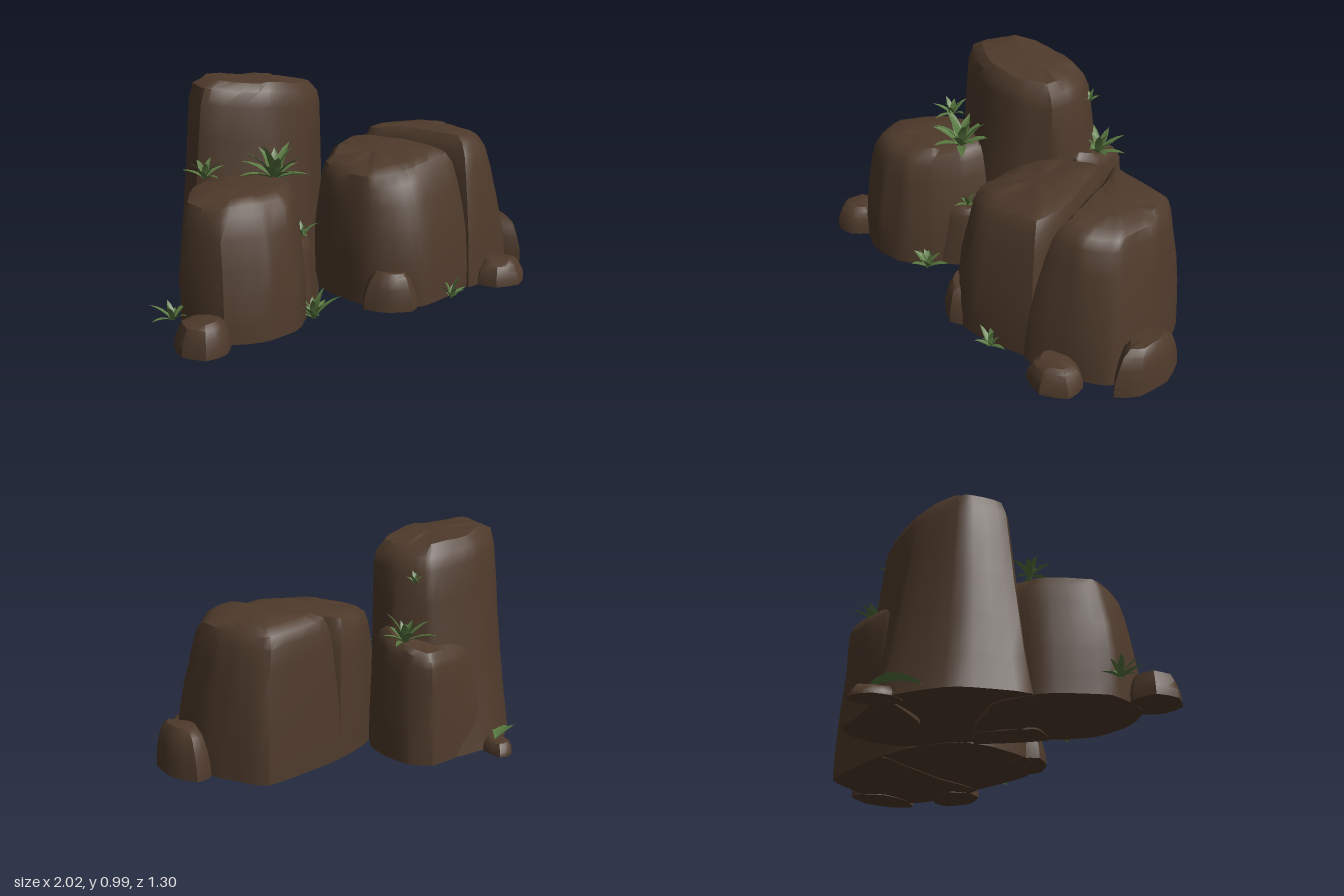
import * as THREE from 'three';
import { mergeGeometries, toCreasedNormals } from 'three/addons/utils/BufferGeometryUtils.js';

const stone = new THREE.MeshStandardMaterial({ color: 0x4e3a2b });
stone.name = 'brown stone';
const leaf = new THREE.MeshStandardMaterial({ color: 0x587840, side: THREE.DoubleSide });
leaf.name = 'leaf green';

const hash = (a, b) => {
  const s = Math.sin(a * 12.9898 + b * 78.233) * 43758.5453;
  return (s - Math.floor(s)) * 2 - 1;
};

// Closed outline through [x, z] points, sampled at n places
function ring(points, n) {
  const curve = new THREE.CatmullRomCurve3(
    points.map(([x, z]) => new THREE.Vector3(x, 0, z)), true, 'catmullrom', 0.25);
  return Array.from({ length: n }, (_, i) => curve.getPoint(i / n));
}

// Height share and inset of each loft row
const ROWS = [[0, 1], [0.16, 1], [0.36, 1], [0.56, 1], [0.75, 1], [0.89, 1], [0.96, 0.95], [1, 0.8], [1.01, 0.4]];

// Rock lofted from a base outline to a top outline, with chipped sides and a tilted top
function rock(name, base, top, { height, slopeX = 0, slopeZ = 0, power = 1.4, rough = 0.028, n = 36, seed = 1, rows = ROWS }) {
  const lower = ring(base, n), upper = ring(top, n);
  const centre = new THREE.Vector3();
  upper.forEach(p => centre.addScaledVector(p, 1 / n));
  const pos = [], index = [];
  rows.forEach(([t, inset], r) => {
    for (let i = 0; i < n; i++) {
      const p = lower[i].clone().lerp(upper[i], Math.min(1, t) ** power).sub(centre);
      const groove = hash(Math.floor(i / 3), seed) * 0.5 + hash(Math.floor(i / 2), seed + Math.floor(r / 2)) * 0.5;
      p.multiplyScalar(inset * (1 + rough * groove));
      const h = height + slopeX * p.x + slopeZ * p.z;
      const bump = t > 0.8 ? hash(Math.floor(i / 3), seed + 9 + r) * rough * 0.25 : 0;
      pos.push(p.x + centre.x, t * h + bump, p.z + centre.z);
    }
  });
  const last = (rows.length - 1) * n, topMid = rows.length * n;
  pos.push(centre.x, height * 1.01, centre.z, centre.x, height * 0.03, centre.z);
  for (let i = 0; i < n; i++) {
    const j = (i + 1) % n;
    for (let r = 0; r < rows.length - 1; r++) {
      const a = r * n + i, b = r * n + j;
      index.push(a, b, b + n, a, b + n, a + n);
    }
    index.push(last + i, last + j, topMid, j, i, topMid + 1);
  }
  const geo = new THREE.BufferGeometry();
  geo.setAttribute('position', new THREE.Float32BufferAttribute(pos, 3));
  geo.setIndex(index);
  const mesh = new THREE.Mesh(toCreasedNormals(geo, 0.6), stone);
  mesh.name = name;
  return mesh;
}

// Small rounded stone lying on the ground
const PEBBLE_ROWS = [[0, 1], [0.3, 1.02], [0.6, 0.98], [0.85, 0.9], [1, 0.68]];
function pebble(name, x, z, rx, rz, height, turn, seed) {
  const outline = s => Array.from({ length: 7 }, (_, i) => {
    const a = i / 7 * Math.PI * 2, k = s * (1 + 0.07 * hash(i, seed));
    const u = Math.sin(a) * rx * k, v = Math.cos(a) * rz * k;
    return [x + u * Math.cos(turn) + v * Math.sin(turn), z - u * Math.sin(turn) + v * Math.cos(turn)];
  });
  return rock(name, outline(1), outline(0.78), { height, n: 14, seed, rough: 0.03, rows: PEBBLE_ROWS });
}

// One pointed blade: tapered strip with a raised fold, bending outwards
function blade(length, width, angle, lean) {
  const pos = [], index = [], steps = 4;
  let out = 0, up = 0;
  for (let s = 0; s <= steps; s++) {
    const t = s / steps, w = width * Math.sin(Math.PI * (0.18 + 0.82 * t)) / 2;
    for (const side of [-1, 0, 1]) {
      const x = out, z = side * w, y = up + Math.abs(side) * w * 0.4;
      pos.push(x * Math.cos(angle) + z * Math.sin(angle), y, -x * Math.sin(angle) + z * Math.cos(angle));
    }
    const bend = lean + t * 0.6;
    out += Math.sin(bend) * length / steps;
    up += Math.cos(bend) * length / steps;
    if (s < steps) for (const k of [0, 1]) {
      const a = s * 3 + k;
      index.push(a, a + 1, a + 4, a, a + 4, a + 3);
    }
  }
  const geo = new THREE.BufferGeometry();
  geo.setAttribute('position', new THREE.Float32BufferAttribute(pos, 3));
  geo.setIndex(index);
  geo.computeVertexNormals();
  return geo;
}

function tuft(name, x, y, z, size, count, seed, spread = 1) {
  const blades = Array.from({ length: count }, (_, i) => blade(
    size * (0.85 + 0.2 * hash(i, seed)), size * 0.22, i * 2.4 + seed,
    spread * (0.15 + 1.1 * i / count)));
  const mesh = new THREE.Mesh(mergeGeometries(blades), leaf);
  mesh.name = name;
  mesh.position.set(x, y, z);
  return mesh;
}

export function createModel() {
  const g = new THREE.Group();
  g.name = 'rockCluster';

  // Large boulders
  g.add(
    rock('tallRock',
      [[-0.35, 0.16], [-0.12, 0.1], [0.08, -0.07], [0.16, -0.27], [0.04, -0.47], [-0.28, -0.54], [-0.58, -0.36], [-0.69, -0.05]],
      [[-0.3, 0.04], [-0.1, 0.03], [0.03, -0.05], [0.04, -0.2], [-0.04, -0.34], [-0.3, -0.37], [-0.53, -0.27], [-0.56, -0.08]],
      { height: 0.96, slopeX: -0.1, power: 0.85, seed: 3 }),
    rock('backShoulder',
      [[0.02, -0.15], [0.13, -0.12], [0.17, -0.25], [0.16, -0.4], [0.09, -0.49], [-0.1, -0.5], [-0.28, -0.49], [-0.15, -0.25]],
      [[0.01, -0.17], [0.1, -0.15], [0.14, -0.25], [0.13, -0.38], [0.08, -0.47], [-0.07, -0.46], [-0.2, -0.42], [-0.12, -0.25]],
      { height: 0.54, slopeZ: 0.3, rough: 0.02, seed: 5 }),
    rock('frontLeftRock',
      [[-0.62, 0.51], [-0.45, 0.47], [-0.34, 0.38], [-0.24, 0.2], [-0.2, 0], [-0.5, -0.12], [-0.71, -0.04], [-0.87, 0.2], [-0.8, 0.44]],
      [[-0.6, 0.4], [-0.47, 0.39], [-0.37, 0.31], [-0.32, 0.18], [-0.31, 0], [-0.5, -0.08], [-0.67, -0.01], [-0.82, 0.18], [-0.76, 0.35]],
      { height: 0.58, slopeX: 0.04, power: 2, seed: 8 }),
    rock('footSlab',
      [[-0.32, 0.34], [-0.22, 0.27], [-0.08, 0.1], [-0.2, 0.03], [-0.38, 0.2]],
      [[-0.32, 0.29], [-0.24, 0.25], [-0.18, 0.12], [-0.24, 0.06], [-0.36, 0.2]],
      { height: 0.3, n: 20, power: 1.2, seed: 11 }),
    rock('rightRockInnerHalf',
      [[0.14, 0.59], [0.49, 0.51], [0.47, 0.25], [0.39, 0], [0.33, -0.15], [0.13, -0.1], [-0.06, 0.03], [-0.1, 0.2], [-0.05, 0.45]],
      [[0.15, 0.44], [0.42, 0.41], [0.42, 0.2], [0.34, 0], [0.28, -0.11], [0.13, -0.07], [-0.01, 0.05], [-0.05, 0.2], [-0.01, 0.37]],
      { height: 0.63, slopeX: 0.17, slopeZ: -0.05, power: 2.2, seed: 14 }),
    rock('rightRockOuterHalf',
      [[0.47, 0.53], [0.72, 0.47], [0.85, 0.38], [0.87, 0.15], [0.83, 0], [0.74, -0.15], [0.32, -0.15], [0.36, 0], [0.43, 0.25]],
      [[0.54, 0.39], [0.65, 0.38], [0.76, 0.27], [0.78, 0.1], [0.76, 0], [0.68, -0.12], [0.38, -0.12], [0.43, 0.02], [0.49, 0.22]],
      { height: 0.675, slopeX: -0.06, power: 1.7, seed: 17 }));

  // Loose stones round the foot
  const pebbles = [
    ['leftStone', -0.88, 0.42, 0.12, 0.12, 0.13, 0.4, 2],
    ['frontStone', 0.025, 0.49, 0.13, 0.1, 0.16, -0.75, 4],
    ['frontRightStone', 0.66, 0.53, 0.14, 0.11, 0.105, 0.2, 6],
    ['rightStone', 0.91, 0.24, 0.095, 0.18, 0.21, 0, 9],
    ['backStone', -0.27, -0.55, 0.07, 0.115, 0.055, -0.4, 12],
  ];
  for (const p of pebbles) g.add(pebble(...p));

  // Plants growing in the cracks
  const tufts = [
    ['ledgePlant', -0.36, 0.57, 0.16, 0.2, 16, 1],
    ['smallLedgePlant', -0.62, 0.58, 0, 0.13, 10, 2],
    ['leftGroundPlant', -0.91, 0.06, 0.21, 0.12, 9, 3],
    ['frontGroundPlant', -0.34, 0, 0.42, 0.15, 11, 4, 0.9],
    ['crackPlant', -0.26, 0.31, 0.22, 0.1, 7, 5, 1.2],
    ['rightGroundPlant', 0.31, 0, 0.59, 0.11, 9, 6, 0.9],
    ['backShoulderPlant', 0.09, 0.53, -0.31, 0.16, 14, 7],
    ['backCliffPlant', 0.03, 0.79, -0.31, 0.08, 7, 8],
  ];
  for (const t of tufts) g.add(tuft(...t));

  // Broad leaf lying against the back foot
  const broadLeaf = new THREE.Mesh(blade(0.27, 0.1, 0.45, 1.2), leaf);
  broadLeaf.name = 'backLeaf';
  broadLeaf.position.set(-0.47, 0.02, -0.46);
  g.add(broadLeaf);
  return g;
}
